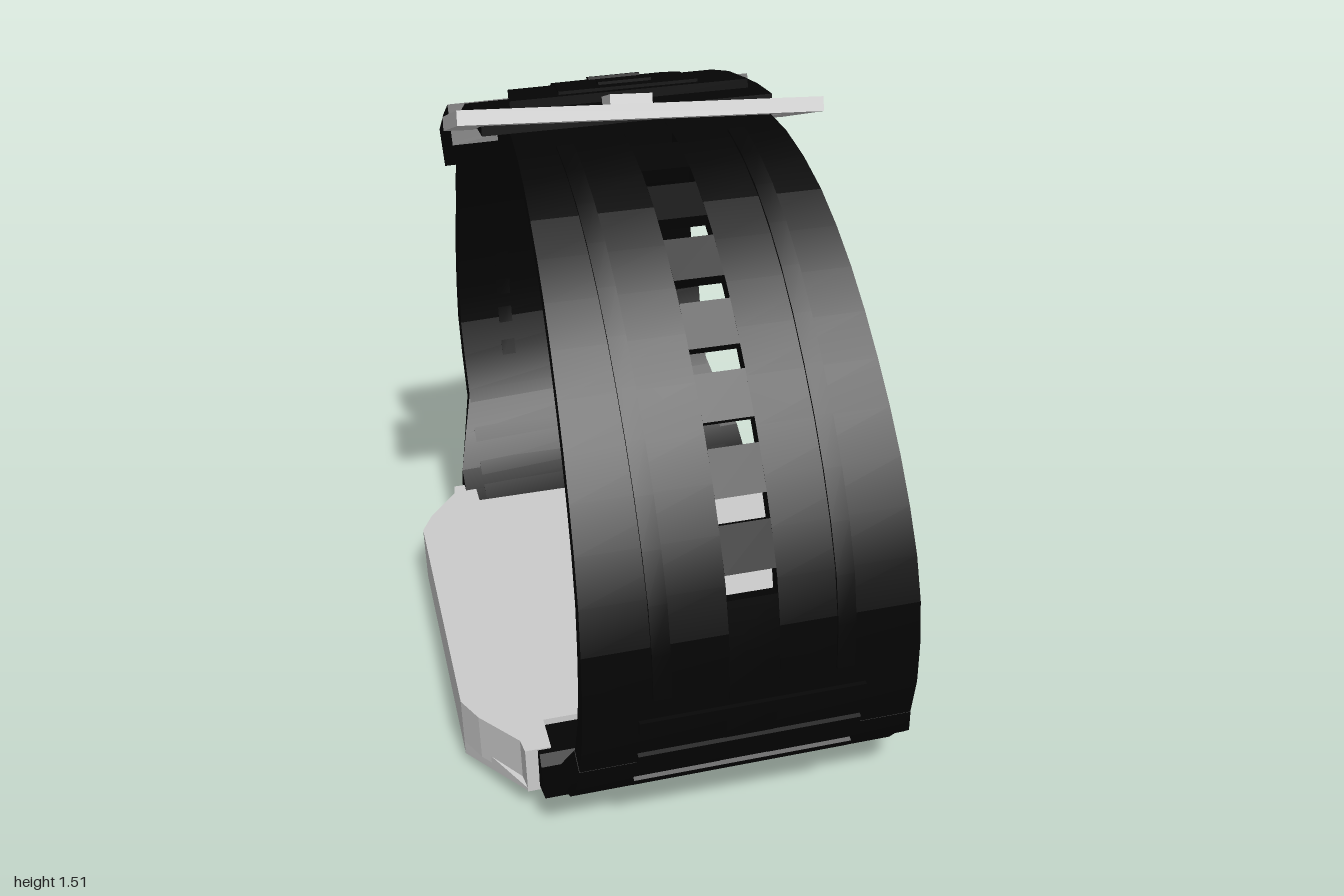
import * as THREE from 'three';
import { ConvexGeometry } from 'three/addons/geometries/ConvexGeometry.js';

const grey = new THREE.MeshStandardMaterial({ color: 0xcccccc });
const black = new THREE.MeshStandardMaterial({ color: 0x040404 });
const green = new THREE.MeshStandardMaterial({ color: 0x041204 });

function add(parent, name, geometry, material) {
  const mesh = new THREE.Mesh(geometry, material);
  mesh.name = name;
  parent.add(mesh);
  return mesh;
}

// Extrudes a plan outline (x, z) upwards from y
function plan(shape, y, height) {
  return new THREE.ExtrudeGeometry(shape, { depth: height, bevelEnabled: false, curveSegments: 5 })
    .rotateX(Math.PI / 2).translate(0, y + height, 0);
}

function outline(points) {
  return new THREE.Shape(points.map(([x, z]) => new THREE.Vector2(x, z)));
}

function roundedRect(hx, hz, cz, r, Type = THREE.Shape) {
  const s = new Type();
  s.absarc(hx - r, cz + hz - r, r, 0, Math.PI / 2);
  s.absarc(-hx + r, cz + hz - r, r, Math.PI / 2, Math.PI);
  s.absarc(-hx + r, cz - hz + r, r, Math.PI, Math.PI * 1.5);
  s.absarc(hx - r, cz - hz + r, r, Math.PI * 1.5, Math.PI * 2);
  s.closePath();
  return s;
}

// A strap path holds z, y and thickness of the outer surface, from case to tip.
// flare makes the loop deeper towards +x.
function strapPath(points, side, flare) {
  const curve = new THREE.CatmullRomCurve3(points.map(([z, y, t]) => new THREE.Vector3(t, y, z)));
  return { curve, side, flare, length: curve.getLength() };
}

// Bends a box along a path from arc length s0 to s1; left and right are [start, end] x values.
// lift raises the outer face; depth replaces the strap thickness.
function band(path, s0, s1, left, right, lift = 0, depth = null) {
  const n = Math.max(1, Math.round((s1 - s0) / 0.11));
  const g = new THREE.BoxGeometry(1, 1, 1, 1, 1, n);
  const p = g.attributes.position;
  for (let i = 0; i < p.count; i++) {
    const k = 0.5 - path.side * p.getZ(i);
    const t = THREE.MathUtils.clamp((s0 + k * (s1 - s0)) / path.length, 0, 1);
    const c = path.curve.getPointAt(t), d = path.curve.getTangentAt(t);
    const m = Math.hypot(d.y, d.z);
    const nz = path.side * d.y / m, ny = -path.side * d.z / m;
    const off = p.getY(i) > 0 ? lift : -(depth ?? c.x);
    const edge = p.getX(i) < 0 ? left : right;
    const x = THREE.MathUtils.lerp(edge[0], edge[1], k);
    p.setXYZ(i, x, c.y + ny * off, (c.z + nz * off) * (1 + path.flare * x));
  }
  g.computeVertexNormals();
  return g;
}

// Band centred on x = 0 with half widths w0 and w1
function centred(path, s0, s1, w0, w1, lift, depth) {
  return band(path, s0, s1, [-w0, -w1], [w0, w1], lift, depth);
}

function caseParts() {
  const group = new THREE.Group();
  group.name = 'case';
  const c = 0.05;
  // Upper body with four corner lugs and a notch for each strap
  const quarter = [[0.577, 0.4], [0.545, 0.47], [0.465, 0.58], [0.46, 0.62], [0.4, 0.62], [0.4, 0.52]];
  const mirrored = quarter.slice().reverse();
  add(group, 'caseBody', plan(outline([
    ...quarter.map(([x, z]) => [x, c + z]),
    ...mirrored.map(([x, z]) => [-x, c + z]),
    ...quarter.map(([x, z]) => [-x, c - z]),
    ...mirrored.map(([x, z]) => [x, c - z]),
  ]), 0.075, 0.116), grey);
  // Chamfered lower shell
  const shell = [];
  for (const sx of [-1, 1]) for (const sz of [-1, 1]) {
    for (const [x, y, z] of [[0.51, 0.022, 0.44], [0.577, 0.037, 0.4], [0.577, 0.1, 0.4], [0.46, 0.078, 0.62], [0.46, 0.085, 0.62]])
      shell.push(new THREE.Vector3(sx * x, y, c + sz * z));
  }
  add(group, 'lowerShell', new ConvexGeometry(shell), grey);
  // Stepped bezel around the display
  const ring = (hx, hz, ix, iz, y) => {
    const s = roundedRect(hx, hz, c, 0.09);
    s.holes.push(roundedRect(ix, iz, c, 0.06, THREE.Path));
    return plan(s, y, 0.04);
  };
  add(group, 'outerBezel', ring(0.49, 0.445, 0.455, 0.415, 0.012), grey);
  add(group, 'innerBezel', ring(0.46, 0.42, 0.415, 0.385, 0.017), grey);
  add(group, 'display', plan(roundedRect(0.42, 0.39, c, 0.06), 0.014, 0.03), green);
  return group;
}

function frontStrap() {
  const group = new THREE.Group();
  group.name = 'frontStrap';
  const path = strapPath([
    [0.57, 0.075, 0.07], [0.73, 0.1, 0.07], [0.84, 0.2, 0.06], [0.915, 0.35, 0.05], [0.94, 0.53, 0.04],
    [0.92, 0.7, 0.035], [0.83, 0.9, 0.035], [0.7, 1.08, 0.035], [0.54, 1.24, 0.035], [0.35, 1.36, 0.035],
    [0.13, 1.425, 0.035], [-0.1, 1.42, 0.035], [-0.33, 1.345, 0.035], [-0.55, 1.21, 0.035], [-0.7, 1.04, 0.03]], 1, 0);
  const L = path.length;
  // Two side rails leave a middle lane for the holes
  for (const [a, b, wa, wb] of [[0, 0.75, 0.385, 0.365], [0.75, 1.7, 0.365, 0.325], [1.7, L, 0.325, 0.26]]) {
    add(group, 'sideRail', band(path, a, b, [-wa, -wb], [-0.055, -0.055]), black);
    add(group, 'sideRail', band(path, a, b, [0.055, 0.055], [wa, wb]), black);
  }
  // Wings that widen the strap where it meets the lugs
  add(group, 'strapWings', centred(path, 0, 0.17, 0.435, 0.43, 0, 0.1), black);
  add(group, 'strapWings', centred(path, 0.17, 0.42, 0.43, 0.375), black);
  // Bridges between the buckle holes
  let s = 0;
  for (let i = 0; i < 10; i++) {
    const hole = 0.85 + i * 0.157;
    add(group, 'holeBridge', centred(path, s, hole - 0.027, 0.055, 0.055), black);
    s = hole + 0.027;
  }
  add(group, 'strapTail', centred(path, s, L, 0.055, 0.055), black);
  // Raised borders and ribs near the case
  for (const x of [-0.2, 0.2])
    add(group, 'raisedBorder', band(path, 0.62, 1.95, [x - 0.02, x - 0.02], [x + 0.02, x + 0.02], 0.006), black);
  for (const r of [0.3, 0.42, 0.53])
    add(group, 'rib', centred(path, r, r + 0.035, 0.25, 0.25, 0.008), black);
  return group;
}

function backStrap() {
  const group = new THREE.Group();
  group.name = 'backStrap';
  const path = strapPath([
    [-0.5, 0.09, 0.07], [-0.63, 0.14, 0.08], [-0.79, 0.28, 0.08], [-0.9, 0.53, 0.075], [-0.905, 0.75, 0.07],
    [-0.82, 1.0, 0.07], [-0.68, 1.17, 0.06], [-0.52, 1.31, 0.06], [-0.36, 1.4, 0.05], [-0.18, 1.45, 0.04],
    [0.02, 1.465, 0.035]], -1, 0.09);
  const L = path.length;
  add(group, 'strapBand', centred(path, 0, 0.7, 0.375, 0.375), black);
  add(group, 'strapMiddleBand', band(path, 0.7, 1.1, [-0.375, -0.36], [0.375, 0.325]), black);
  add(group, 'strapUpperBand', band(path, 1.1, L, [-0.36, -0.37], [0.325, 0.325]), black);
  // Wings that widen the strap where it meets the lugs
  add(group, 'strapWings', centred(path, 0, 0.18, 0.43, 0.43), black);
  add(group, 'strapWings', centred(path, 0.18, 0.45, 0.43, 0.375), black);
  // Keeper loop around both straps
  add(group, 'keeperLoop', centred(path, 1.48, 1.68, 0.41, 0.4, 0.015, 0.09), black);
  // Tapered raised plate with small bars
  add(group, 'plateTip', centred(path, 1.4, 1.5, 0.13, 0.22, 0.03), black);
  add(group, 'plate', centred(path, 1.5, L - 0.08, 0.22, 0.29, 0.022), black);
  add(group, 'platePanel', centred(path, 1.53, L - 0.1, 0.12, 0.17, 0.029), black);
  for (const r of [0.14, 0.26])
    add(group, 'plateBar', centred(path, L - r - 0.025, L - r, 0.065, 0.065, 0.034), black);
  // Borders and ribs on the lower half
  for (const x of [-0.24, 0.24])
    add(group, 'raisedBorder', band(path, 0.55, 1.3, [x - 0.02, x - 0.02], [x + 0.02, x + 0.02], 0.006), black);
  for (const r of [0.28, 0.38, 0.48])
    add(group, 'rib', centred(path, r, r + 0.035, 0.25, 0.25, 0.008), black);
  return group;
}

function buckle() {
  const group = new THREE.Group();
  group.name = 'buckle';
  // U-shaped frame, open towards the back
  add(group, 'buckleFrame', plan(outline([
    [-0.425, -0.17], [-0.355, -0.17], [-0.355, 0.085], [0.355, 0.085], [0.355, -0.17], [0.425, -0.17], [0.425, 0.17], [-0.425, 0.17],
  ]), -0.015, 0.034), grey);
  add(group, 'bucklePin', new THREE.BoxGeometry(0.1, 0.04, 0.1).translate(-0.015, 0.025, 0.05), grey);
  group.position.set(-0.01, 1.43, -0.035);
  group.rotation.set(-0.32, 0, -0.055);
  return group;
}

export function createModel() {
  const model = new THREE.Group();
  model.name = 'wristwatch';
  const watch = new THREE.Group();
  watch.name = 'watch';
  watch.add(caseParts(), frontStrap(), backStrap(), buckle());
  // The watch lies on its display, slightly turned and tipped
  watch.rotation.set(0, 0.265, 0.027);
  watch.position.x = -0.005;
  model.add(watch);
  return model;
}
